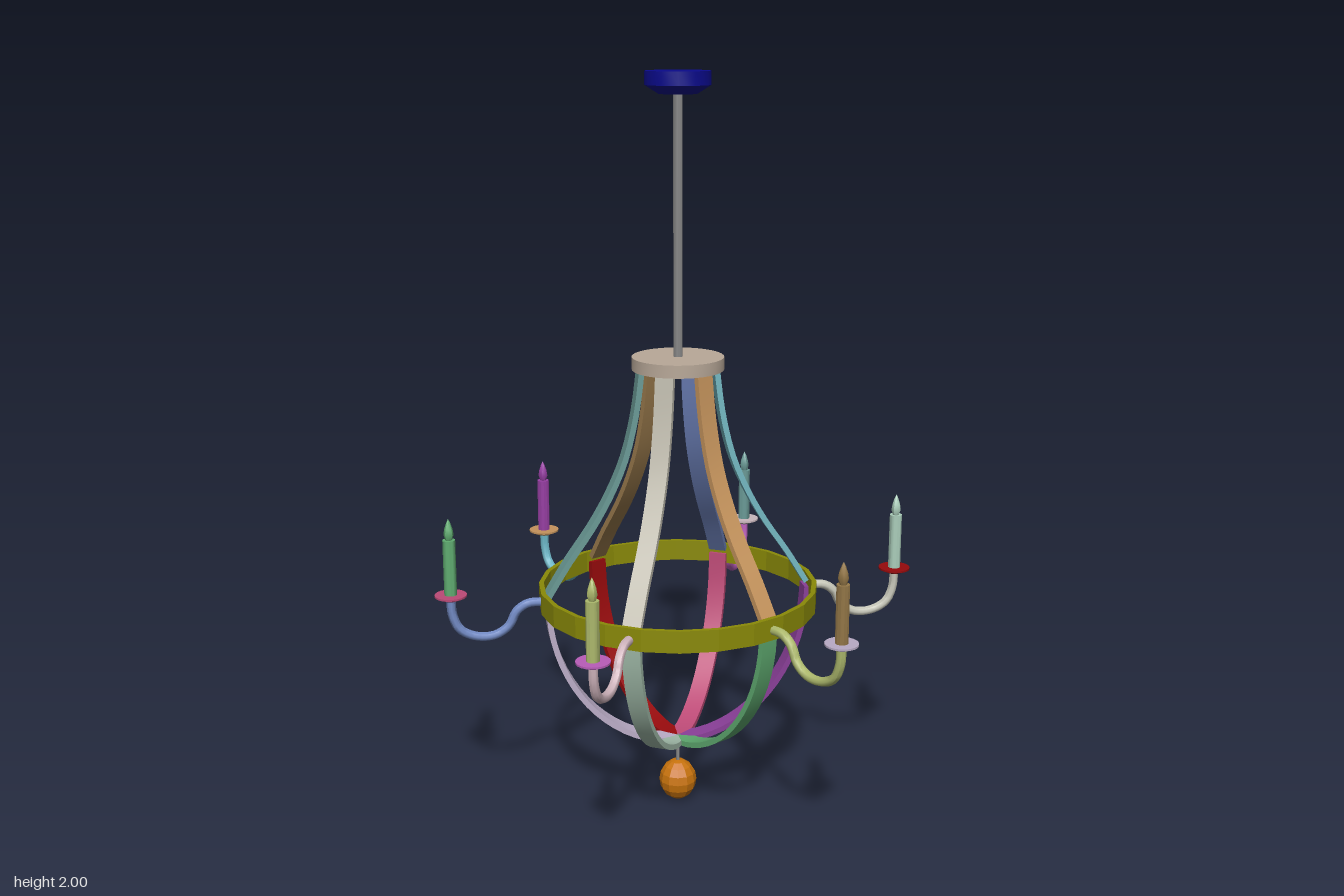
import * as THREE from 'three';
import { toCreasedNormals } from 'three/addons/utils/BufferGeometryUtils.js';

const V2 = (x, y) => new THREE.Vector2(x, y);

function part(name, geometry, color, crease = 0.6) {
  const material = new THREE.MeshStandardMaterial({ color });
  const mesh = new THREE.Mesh(toCreasedNormals(geometry, crease), material);
  mesh.name = name;
  return mesh;
}

const lathe = (points, sides) =>
  new THREE.LatheGeometry(points.map(([r, y]) => V2(r, y)), sides);

// Flat metal band: a side profile (radius, height) thickened, then extruded to its width
function band(points, width, thickness) {
  const curve = new THREE.SplineCurve(points.map(([r, y]) => V2(r, y)));
  const outer = [], inner = [];
  const steps = 18;
  for (let i = 0; i <= steps; i++) {
    const p = curve.getPoint(i / steps);
    const t = curve.getTangent(i / steps);
    const n = V2(-t.y, t.x).multiplyScalar(thickness / 2);
    outer.push(p.clone().add(n));
    inner.unshift(p.clone().sub(n));
  }
  const shape = new THREE.Shape([...outer, ...inner]);
  const geometry = new THREE.ExtrudeGeometry(shape, { depth: width, bevelEnabled: false });
  return geometry.translate(0, 0, -width / 2);
}

// Colours of each branch, in order around the ring
const BRANCHES = [
  { upper: 0x74b8c2, lower: 0x8a3f98, arm: 0xc8c8ba, plate: 0x960a0c, candle: 0xaacdba },
  { upper: 0xc4935c, lower: 0x5fab70, arm: 0xacb86c, plate: 0xb8aac4, candle: 0x957848 },
  { upper: 0xc0bcae, lower: 0xa2bcaa, arm: 0xcbb0b8, plate: 0xb85cb8, candle: 0xacb86c },
  { upper: 0x6a9a96, lower: 0xbcaec8, arm: 0x748cc6, plate: 0xbc4a76, candle: 0x5fab70 },
  { upper: 0x9a7a4c, lower: 0x960a0c, arm: 0x6cb6c6, plate: 0xc4935c, candle: 0x9a40a6 },
  { upper: 0x6c80b8, lower: 0xbc4a76, arm: 0xbc60bc, plate: 0xc8b6bc, candle: 0x6a9a96 },
];

const ARM_RADIUS = 0.614;

export function createModel() {
  const model = new THREE.Group();
  model.name = 'chandelier';

  // Ceiling mount, rod and collar
  model.add(part('ceilingMount', lathe([[0, 1.943], [0.05, 1.943], [0.085, 1.965], [0.085, 2], [0, 2]], 24), 0x0a0a8c));
  model.add(part('rod', new THREE.CylinderGeometry(0.012, 0.012, 0.7, 12).translate(0, 1.6, 0), 0x888888));
  model.add(part('collar', new THREE.CylinderGeometry(0.122, 0.122, 0.034, 32).translate(0, 1.252, 0), 0xb8a898));

  // Ring around the widest point
  model.add(part('ring', lathe([
    [0.365, 0.585], [0.378, 0.585], [0.378, 0.644], [0.365, 0.644], [0.365, 0.585],
  ], 24), 0x8a8a08, 0.1));

  // Finial hanging below the basket
  model.add(part('finialStem', new THREE.CylinderGeometry(0.005, 0.005, 0.09, 8).translate(0, 0.148, 0), 0x888888));
  model.add(part('finialBall', new THREE.SphereGeometry(0.058, 12, 8).scale(0.9, 1, 0.9).translate(0, 0.06, 0), 0xc8730c, 0.1));

  // Shared shapes of the six branches
  const upperBand = band([
    [0.1, 1.24], [0.116, 1.12], [0.145, 1.0], [0.187, 0.9], [0.238, 0.81], [0.3, 0.72], [0.355, 0.63],
  ], 0.05, 0.015);

  const basketProfile = [];
  for (let i = 0; i <= 8; i++) {
    const a = (i / 8) * Math.PI / 2;
    basketProfile.push([0.357 * Math.cos(a), 0.615 - 0.43 * Math.sin(a)]);
  }
  const lowerBand = band(basketProfile, 0.05, 0.015);

  const armPath = new THREE.CatmullRomCurve3([
    [0.368, 0.612], [0.41, 0.61], [0.44, 0.59], [0.462, 0.55], [0.5, 0.526],
    [0.55, 0.526], [0.592, 0.548], [0.611, 0.59], [ARM_RADIUS, 0.64],
  ].map(([r, y]) => new THREE.Vector3(r, y, 0)));
  const arm = new THREE.TubeGeometry(armPath, 32, 0.0125, 8);

  const plate = lathe([[0, 0.632], [0.018, 0.632], [0.043, 0.643], [0.043, 0.648], [0, 0.648]], 20);
  const candle = new THREE.CylinderGeometry(0.017, 0.017, 0.155, 12).translate(0, 0.7225, 0);
  const flame = lathe([[0, 0.8], [0.009, 0.8], [0.0135, 0.815], [0.011, 0.83], [0.005, 0.848], [0, 0.858]], 8);

  BRANCHES.forEach((colors, i) => {
    const branch = new THREE.Group();
    branch.name = 'branch' + (i + 1);
    branch.add(part('upperBand', upperBand, colors.upper));
    branch.add(part('lowerBand', lowerBand, colors.lower));
    branch.add(part('arm', arm, colors.arm, 1));

    // Drip plate, candle and flame stand on the end of the arm
    const light = new THREE.Group();
    light.name = 'candleLight';
    light.position.x = ARM_RADIUS;
    light.add(part('dripPlate', plate, colors.plate));
    light.add(part('candle', candle, colors.candle));
    light.add(part('flame', flame, colors.candle, 1));
    branch.add(light);

    branch.rotation.y = -THREE.MathUtils.degToRad(20 + i * 60);
    model.add(branch);
  });

  return model;
}
